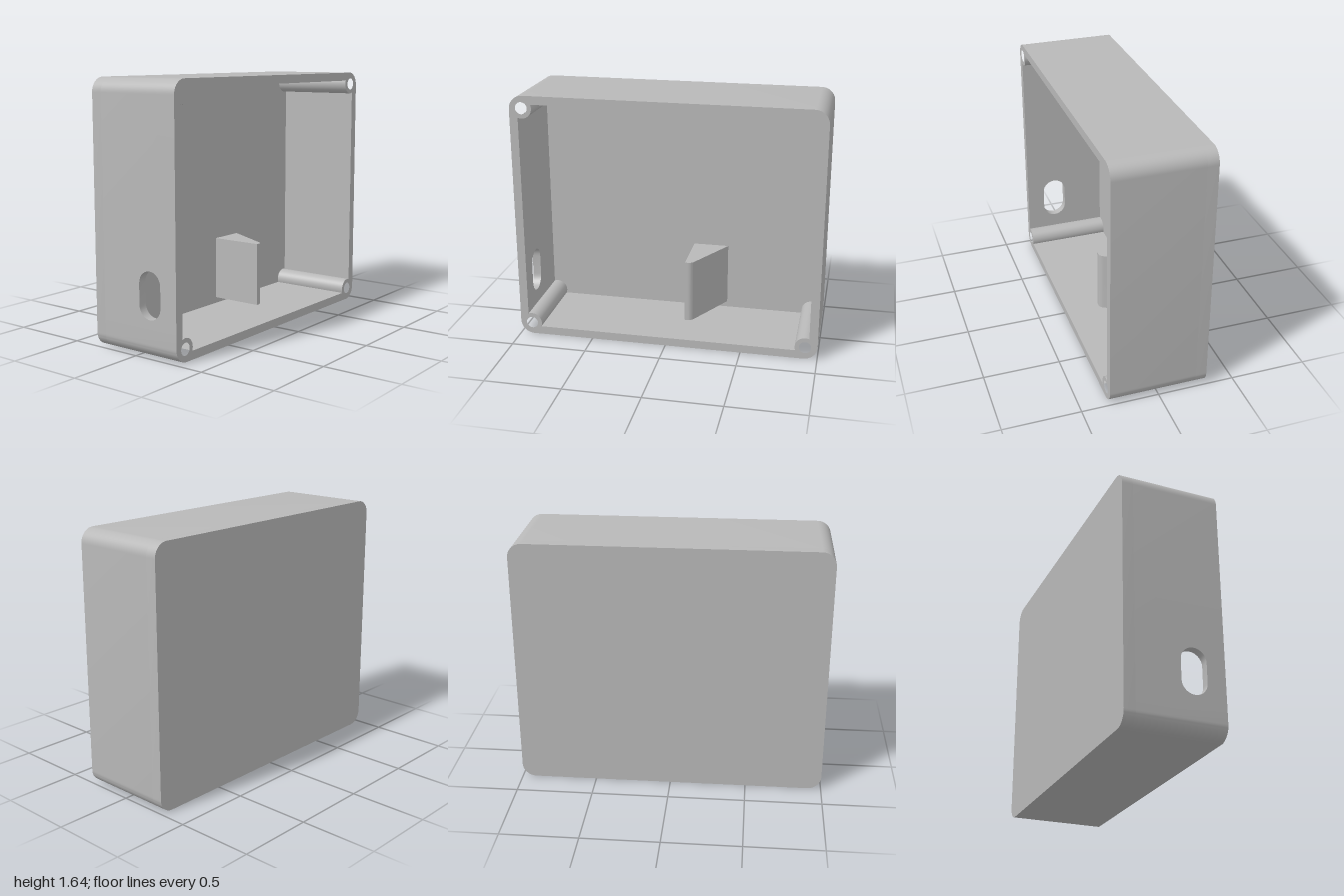
import * as THREE from 'three';
import { toCreasedNormals } from 'three/addons/utils/BufferGeometryUtils.js';

const H = 1.645, X0 = -0.318, X1 = 0.318, FLOOR = -0.247; // height, back, rim, inner floor
const WALL = 0.055, R = 0.09;                             // wall thickness, corner radius
const BOSS = 0.08, BOSS_R = 0.067, SCREW_R = 0.039;       // screw post inset and radii
const GAP = [0.19, 0.58];                                 // wall section that holds the slot

// points on an arc, angles in radians
function arc(cx, cy, r, a0, a1, n = 14) {
  return Array.from({ length: n + 1 }, (_, i) => {
    const a = a0 + (a1 - a0) * i / n;
    return new THREE.Vector2(cx + r * Math.cos(a), cy + r * Math.sin(a));
  });
}

// corner centres, clockwise from top left
function corners(inset) {
  const u = 1 - inset;
  return [[-u, H - inset], [u, H - inset], [u, inset], [-u, inset]];
}

const outline = () => corners(R).flatMap(([u, v], i) =>
  arc(u, v, R, Math.PI - i * Math.PI / 2, Math.PI / 2 - i * Math.PI / 2));

function extrude(shape, depth) {
  const g = new THREE.ExtrudeGeometry(shape, { depth, bevelEnabled: false, curveSegments: 20 });
  return toCreasedNormals(g, 0.5);
}

export function createModel() {
  const group = new THREE.Group();
  const grey = new THREE.MeshStandardMaterial({ color: 0xb8b8b8 });
  grey.name = 'grey plastic';
  const add = (name, geometry) => {
    const mesh = new THREE.Mesh(geometry, grey);
    mesh.name = name;
    group.add(mesh);
  };

  // closed back panel
  add('backPanel', extrude(new THREE.Shape(outline()), FLOOR - X0)
    .rotateY(Math.PI / 2).translate(X0, 0, 0));

  // side walls with corner screw posts, left open where the slotted section fits
  const V = (x, y) => new THREE.Vector2(x, y);
  const d = Math.asin((BOSS - WALL) / BOSS_R);
  const inner = corners(BOSS).reverse().flatMap(([u, v], k) =>
    arc(u, v, BOSS_R, Math.PI / 2 + d + k * Math.PI / 2, -d + k * Math.PI / 2));
  const walls = new THREE.Shape([
    V(-1, GAP[1]), ...outline(), V(-1, GAP[0]),
    V(-1 + WALL, GAP[0]), ...inner, V(-1 + WALL, GAP[1]),
  ]);
  for (const [u, v] of corners(BOSS)) {
    walls.holes.push(new THREE.Path().absarc(u, v, SCREW_R, 0, Math.PI * 2, true));
  }
  add('sideWalls', extrude(walls, X1 - FLOOR).rotateY(Math.PI / 2).translate(FLOOR, 0, 0));

  // front wall section with a rounded cable slot
  const section = new THREE.Shape([
    V(FLOOR, GAP[0]), V(X1, GAP[0]), V(X1, GAP[1]), V(FLOOR, GAP[1]),
  ]);
  const r = 0.082, cx = 0.117;
  section.holes.push(new THREE.Path([
    ...arc(cx, 0.53 - r, r, 0, Math.PI), ...arc(cx, 0.237 + r, r, Math.PI, Math.PI * 2),
  ]));
  add('slottedWall', extrude(section, WALL).translate(0, 0, 1 - WALL));

  // wedge bracket standing on the back panel inside
  const wedge = new THREE.Shape();
  wedge.moveTo(FLOOR - 0.003, 0.09);
  wedge.lineTo(0.105, 0.09);
  wedge.lineTo(0.105, 0.11);
  wedge.quadraticCurveTo(0.105, 0.135, 0.08, 0.149);
  wedge.lineTo(FLOOR - 0.003, 0.33);
  wedge.closePath();
  add('wedgeBracket', extrude(wedge, 0.42).rotateX(-Math.PI / 2).translate(0, 0.095, 0));

  return group;
}
